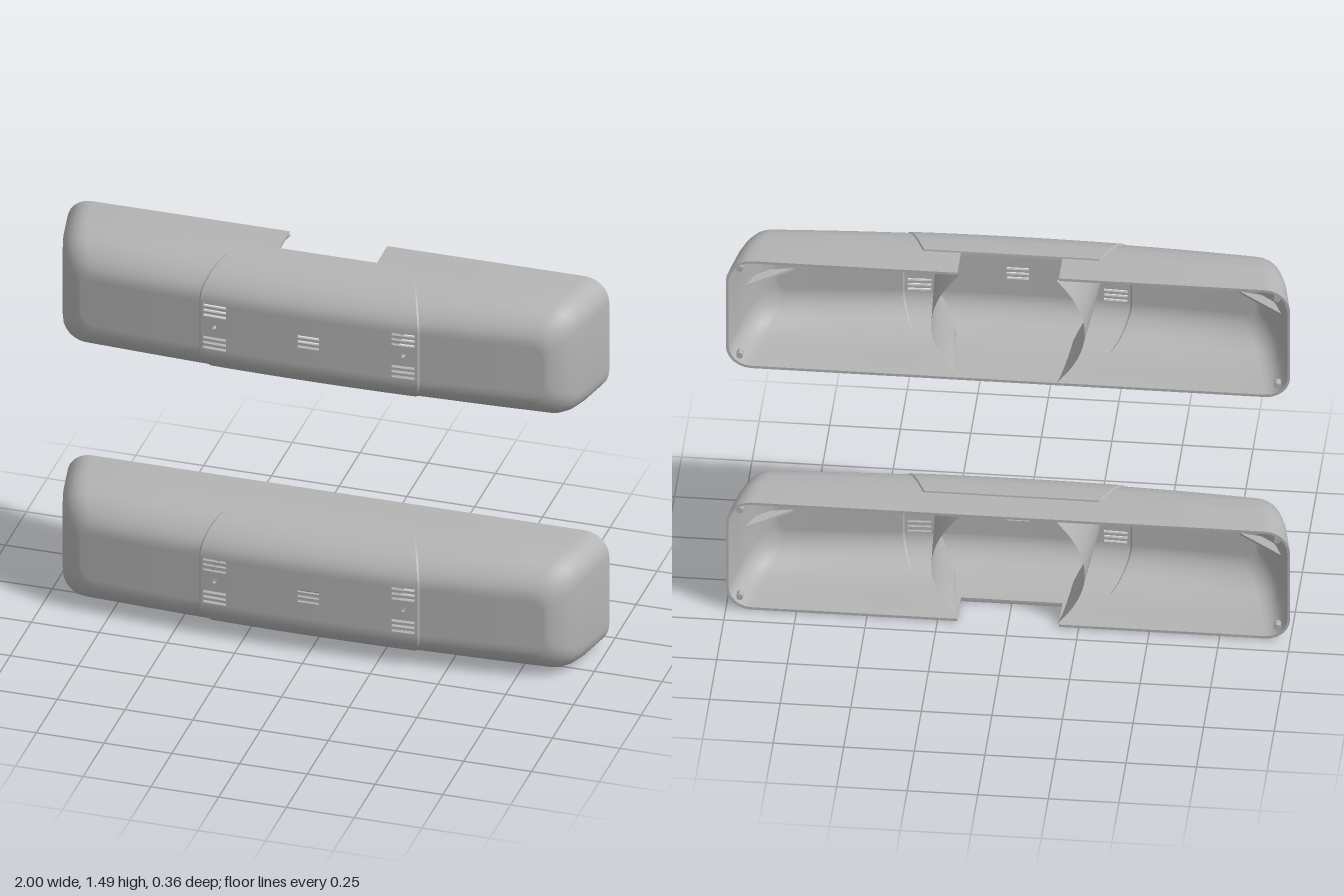
import * as THREE from 'three';
import { toCreasedNormals } from 'three/addons/utils/BufferGeometryUtils.js';

const WALL = 0.01, STEP = 0.006, NOTCH_Z = -0.05, FRONT = 0.174, CAP_H = 0.11;
const clamp = THREE.MathUtils.clamp;

// shell sections from the open back to the front: z, half height, half width, corner radius
const rows = [
  [-0.18, 0.228, 1, 0.09], [NOTCH_Z, 0.225, 0.975, 0.09], [-0.049, 0.225, 0.975, 0.09],
  [0.03, 0.221, 0.958, 0.09], [0.08, 0.208, 0.945, 0.085], [0.12, 0.186, 0.925, 0.08],
  [0.15, 0.158, 0.9, 0.07], [0.167, 0.133, 0.875, 0.06], [FRONT, CAP_H, 0.86, 0.05],
];
const profileCount = rows.length;
// the front face closes in rows that line up with the vent slots
for (const h of [0.09, 0.08, 0.07, 0.06, 0.05, 0.04, 0.025, 0.015, 0.005, 0])
  rows.push([FRONT, h, 0.86 - (CAP_H - h) * 0.3, Math.min(0.05, h)]);

const half = [0.04, 0.1, 0.18, 0.25, 0.305, 0.342, 0.354, 0.39, 0.4, 0.406, 0.5, 0.6, 0.72];
const columns = [...half.slice().reverse(), 0, ...half.map((x) => -x)];
const CORNER = 6;

const depth = (z) => clamp((z - NOTCH_Z) / (FRONT - NOTCH_Z), 0, 1);

// one closed rounded-rectangle section, counter-clockwise from the front
function ring(k, inset) {
  const [z, h0, w0, r0] = rows[k];
  const onFace = k >= profileCount;
  const h = onFace ? h0 : h0 - inset, w = w0 - inset, r = Math.max(0, Math.min(r0 - inset, h));
  const t = depth(z), spread = 0.59 + 0.41 * t;
  const pts = [];
  const add = (x, y, raised) => {
    const f = clamp((z - 0.03) / 0.14, 0, 1);
    const lift = raised && k >= 2 ? STEP : 0;
    const zz = z - inset * t - 0.06 * t * x * x + lift * f;
    pts.push([x, y + Math.sign(y) * lift * (1 - f), zz]);
  };
  const corner = (sx, sy, from) => {
    for (let i = 0; i <= CORNER; i++) {
      const a = from + (i / CORNER) * Math.PI / 2;
      add(sx * (w - r) + r * Math.cos(a), sy * (h - r) + r * Math.sin(a), false);
    }
  };
  const edge = (dir) => columns.forEach((c) => {
    const a = Math.abs(c);
    const x = a > 0.18 ? 0.18 + (a - 0.18) * spread : a;
    add(dir * Math.sign(c) * x, dir * h, a <= 0.4);
  });
  corner(1, 1, 0);
  edge(1);
  corner(-1, 1, Math.PI / 2);
  corner(-1, -1, Math.PI);
  edge(-1);
  corner(1, -1, Math.PI * 1.5);
  return pts;
}

// true where the shell is cut away: rear notch, vent slots and sensor holes
function isCut(k, x, y, z) {
  if (z < NOTCH_Z && y > 0.15) return Math.abs(x) < 0.18;
  if (k < profileCount - 1) return false;
  const ax = Math.abs(x), ay = Math.abs(y);
  const within = (v, lo, hi) => v > lo && v < hi;
  if (ax < 0.04) return ay < 0.005 || within(ay, 0.015, 0.025);
  if (within(ax, 0.342, 0.354) && ay < 0.005) return true;
  return within(ax, 0.305, 0.39) && [0.04, 0.06, 0.08].some((s) => within(ay, s, s + 0.01));
}

function shellGeometry() {
  const outer = rows.map((_, k) => ring(k, 0)).flat();
  const inner = rows.map((_, k) => ring(k, WALL)).flat();
  const n = outer.length / rows.length, total = outer.length;
  const index = [], edges = new Set();
  const quad = (a, b, c, d) => index.push(a, b, c, a, c, d);
  for (let k = 0; k < rows.length - 1; k++) {
    for (let j = 0; j < n; j++) {
      const j2 = (j + 1) % n;
      const q = [k * n + j, k * n + j2, (k + 1) * n + j2, (k + 1) * n + j];
      const mid = [0, 1, 2].map((i) => q.reduce((s, v) => s + outer[v][i], 0) / 4);
      if (isCut(k, ...mid)) continue;
      quad(...q);
      quad(...q.slice().reverse().map((v) => v + total));
      q.forEach((v, i) => edges.add(v + '_' + q[(i + 1) % 4]));
    }
  }
  // wall thickness along every open edge
  const last = (rows.length - 1) * n;
  for (const e of edges) {
    const [a, b] = e.split('_').map(Number);
    if (edges.has(b + '_' + a) || (a >= last && b >= last)) continue;
    quad(b, a, a + total, b + total);
  }
  const geo = new THREE.BufferGeometry();
  geo.setAttribute('position', new THREE.Float32BufferAttribute([...outer, ...inner].flat(), 3));
  geo.setIndex(index);
  return toCreasedNormals(geo, 0.5);
}

// z of the inner front wall at a given height
function innerFront(y) {
  const a = Math.abs(y) + WALL;
  for (let k = profileCount - 1; k > 0; k--) {
    const [z1, h1] = rows[k], [z0, h0] = rows[k - 1];
    if (a <= h1) return z1 - WALL;
    if (a <= h0) return z1 + (z0 - z1) * (a - h1) / (h0 - h1) - WALL / 2;
  }
  return rows[0][0];
}

// partition bowed outwards, from the open back to the front wall
function partitionGeometry(side) {
  const geo = new THREE.PlaneGeometry(1, 1, 8, 24);
  const p = geo.attributes.position;
  for (let i = 0; i < p.count; i++) {
    const u = p.getX(i) + 0.5, v = p.getY(i) * 2;
    const y = v * 0.217;
    const z = -0.18 + u * (innerFront(y) - 0.004 + 0.18);
    p.setXYZ(i, side * (0.172 + 0.02 * u + 0.1 * (1 - v * v)), y, z);
  }
  geo.computeVertexNormals();
  return geo;
}

export function createModel() {
  const model = new THREE.Group();
  model.name = 'housingPair';
  const grey = new THREE.MeshStandardMaterial({ color: 0xb4b4b4, side: THREE.DoubleSide });
  grey.name = 'grey plastic';

  const shell = shellGeometry();
  const torus = new THREE.TorusGeometry(0.009, 0.003, 8, 20);
  const boss = new THREE.CylinderGeometry(0.012, 0.012, 0.03, 12).rotateX(Math.PI / 2);
  const gusset = new THREE.ExtrudeGeometry(
    new THREE.Shape([[0.95, 0], [0.92, 0.07], [0.87, 0.11], [0.79, 0.125]].map((q) => new THREE.Vector2(...q))),
    { depth: 0.008, bevelEnabled: false }).rotateX(Math.PI / 2);

  function housing(name, y, turn) {
    const group = new THREE.Group();
    group.name = name;
    const add = (part, geo, x = 0, py = 0, z = 0) => {
      const mesh = new THREE.Mesh(geo, grey);
      mesh.name = part;
      mesh.position.set(x, py, z);
      group.add(mesh);
      return mesh;
    };
    add('shell', shell);
    for (const s of [-1, 1]) {
      add('partition', partitionGeometry(s));
      add('sensorRing', torus, s * 0.348, 0, FRONT - 0.003);
      const rib = add('endGusset', gusset);
      if (s < 0) rib.rotation.z = Math.PI;
      for (const v of [-1, 1]) add('cornerBoss', boss, s * 0.952, v * 0.185, -0.155);
    }
    group.position.y = y;
    group.rotation.z = turn;
    model.add(group);
  }
  housing('upperHousing', 1.262, 0);
  housing('lowerHousing', 0.232, Math.PI);
  return model;
}
